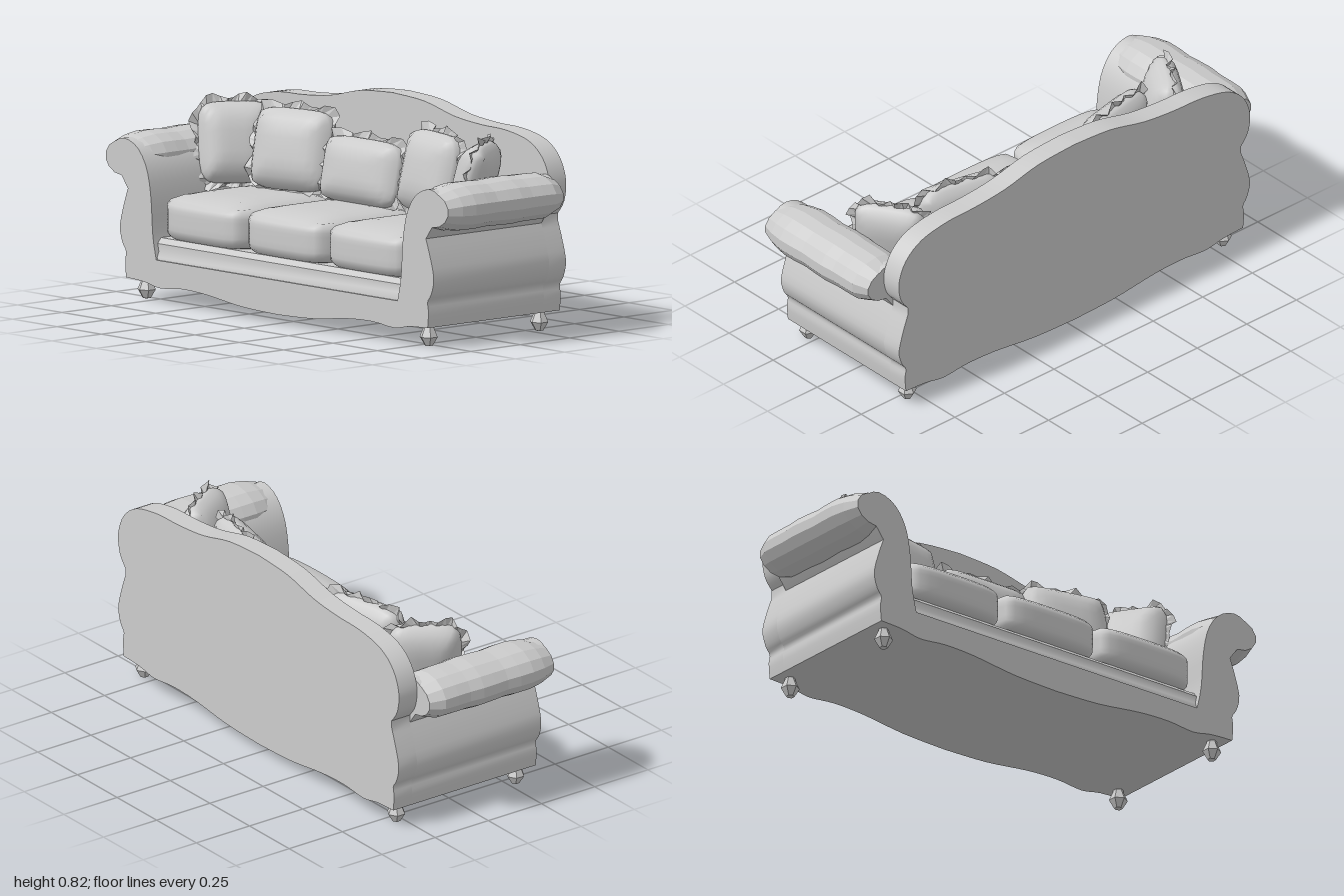
import * as THREE from 'three';
import { mergeVertices, toCreasedNormals } from 'three/addons/utils/BufferGeometryUtils.js';

const smooth = new THREE.MeshStandardMaterial({ color: 0xcccccc });
const faceted = new THREE.MeshStandardMaterial({ color: 0xcccccc, flatShading: true });
const cloth = new THREE.MeshStandardMaterial({ color: 0xcccccc, flatShading: true, side: THREE.DoubleSide });

const spline = (pts, n) => new THREE.SplineCurve(pts.map(p => new THREE.Vector2(...p))).getPoints(n);

// Shape symmetric about x = 0, from its right half listed bottom centre to top centre
function mirroredShape(half) {
  const left = half.filter(p => p.x > 1e-4).reverse().map(p => new THREE.Vector2(-p.x, p.y));
  return new THREE.Shape([...half, ...left]);
}

function add(parent, name, geometry, material) {
  const mesh = new THREE.Mesh(geometry, material);
  mesh.name = name;
  parent.add(mesh);
  return mesh;
}

function slab(shape, z0, z1) {
  const g = new THREE.ExtrudeGeometry(shape, { depth: z1 - z0, bevelEnabled: false });
  return toCreasedNormals(g.translate(0, 0, z0), 0.6);
}

// Box puffed into a cushion: n sets how square it stays, pinch thins the rim
function cushionGeometry(w, h, d, n, pinch, rule) {
  const g = new THREE.BoxGeometry(2, 2, 2, 10, 8, 6);
  const pos = g.attributes.position, v = new THREE.Vector3();
  for (let i = 0; i < pos.count; i++) {
    v.fromBufferAttribute(pos, i);
    const k = (Math.abs(v.x) ** n + Math.abs(v.y) ** n + Math.abs(v.z) ** n) ** (-1 / n);
    v.multiplyScalar(k);
    if (pinch) v.z *= 1 - pinch * Math.max(v.x ** 4, v.y ** 4);
    if (rule) rule(v);
    pos.setXYZ(i, v.x * w / 2, v.y * h / 2, v.z * d / 2);
  }
  g.deleteAttribute('uv');
  g.deleteAttribute('normal');
  const merged = mergeVertices(g, 1e-4);
  merged.computeVertexNormals();
  return merged;
}

// Thin gathered frill around a pillow's rim
function frillGeometry(w, h, phase) {
  const n = 44, pos = [], idx = [];
  for (let i = 0; i < n; i++) {
    const a = i / n * Math.PI * 2, c = Math.cos(a), s = Math.sin(a);
    const k = (Math.abs(c) ** 5 + Math.abs(s) ** 5) ** (-1 / 5);
    const wave = Math.sin(i * 2.1 + phase);
    const out = 0.022 + 0.012 * Math.sin(i * 1.3 + phase);
    pos.push(c * k * w * 0.46, s * k * h * 0.46, 0);
    pos.push(c * k * (w / 2 + out), s * k * (h / 2 + out), 0.016 * wave);
    const p = i * 2, q = ((i + 1) % n) * 2;
    idx.push(p, p + 1, q, p + 1, q + 1, q);
  }
  const g = new THREE.BufferGeometry();
  g.setAttribute('position', new THREE.Float32BufferAttribute(pos, 3));
  g.setIndex(idx);
  g.computeVertexNormals();
  return g;
}

function pillow(parent, name, w, h, d, position, turn, lean, phase) {
  const group = new THREE.Group();
  group.name = name;
  add(group, name + 'Body', cushionGeometry(w, h, d, 5, 0.65), smooth);
  add(group, name + 'Frill', frillGeometry(w, h, phase), cloth);
  group.position.set(...position);
  group.rotation.set(lean, turn, 0, 'YXZ');
  parent.add(group);
}

export function createModel() {
  const sofa = new THREE.Group();
  sofa.name = 'sofa';

  // Scalloped lower edge and serpentine side, shared by the frame and the back
  const apron = spline([[0, 0.035], [0.2, 0.042], [0.4, 0.065], [0.54, 0.07], [0.66, 0.06], [0.75, 0.075], [0.85, 0.08]], 24);
  const side = spline([[0.85, 0.08], [0.855, 0.14], [0.85, 0.18], [0.87, 0.21], [0.885, 0.27], [0.865, 0.35], [0.84, 0.42]], 16);

  // Frame: apron and both arm bodies in one outline
  const armInside = spline([[0.9, 0.5], [0.93, 0.57], [0.87, 0.61], [0.79, 0.585], [0.735, 0.51], [0.71, 0.4], [0.7, 0.26], [0.68, 0.165]], 20);
  const frame = mirroredShape([...apron, ...side.slice(1), ...armInside, new THREE.Vector2(0, 0.165)]);
  add(sofa, 'frame', slab(frame, -0.25, 0.335), smooth);

  // Camelback panel
  const crest = spline([[0.84, 0.45], [0.875, 0.5], [0.885, 0.58], [0.85, 0.665], [0.77, 0.725], [0.64, 0.752],
    [0.5, 0.757], [0.35, 0.772], [0.18, 0.81], [0, 0.822]], 36);
  const back = mirroredShape([...apron, ...side.slice(1), ...crest]);
  add(sofa, 'backPanel', slab(back, -0.335, -0.25), smooth);

  // Rounded seat rail and deck running between the arms
  const railShape = new THREE.Shape([[0.25, 0.15], [-0.328, 0.15], [-0.328, 0.175], [-0.315, 0.195], [-0.315, 0.225],
    [-0.295, 0.245], [0.25, 0.245]].reverse().map(p => new THREE.Vector2(...p)));
  const rail = new THREE.ExtrudeGeometry(railShape, { depth: 1.42, bevelEnabled: false });
  rail.translate(0, 0, -0.71).rotateY(Math.PI / 2);
  add(sofa, 'seatRail', toCreasedNormals(rail, 0.7), smooth);

  // Lumpy rolled arms, tapering at both ends
  for (const s of [-1, 1]) {
    const roll = new THREE.CylinderGeometry(1, 1, 1, 14, 10).rotateX(Math.PI / 2);
    const pos = roll.attributes.position;
    for (let i = 0; i < pos.count; i++) {
      const t = pos.getZ(i) * 2;
      const z = 0.0425 + t * 0.2925;
      const k = (1 - 0.24 * Math.abs(t) ** 7) * (0.98 + 0.025 * Math.cos(z * 32));
      const x = pos.getX(i), y = pos.getY(i);
      pos.setXYZ(i, s * 0.873 + x * 0.127 * k, 0.535 + y * 0.093 * k - (y > 0 ? 0.012 * Math.max(0, Math.abs(t) - 0.7) : 0), z);
    }
    add(sofa, s > 0 ? 'leftArmRoll' : 'rightArmRoll', toCreasedNormals(roll, 0.6), faceted);
  }

  // Seat cushions, crowned on top and bowed at the front
  [-1, 0, 1].forEach((s, i) => {
    const crown = v => {
      if (v.y > 0) v.y *= 1 - 0.3 * Math.max(v.x ** 4, v.z ** 4);
      if (v.z > 0) v.z *= 1 - 0.05 * v.x * v.x;
    };
    const seat = add(sofa, 'seatCushion' + (i + 1), cushionGeometry(0.465, 0.185, 0.53, 7, 0, crown), smooth);
    seat.position.set(s * 0.46, 0.33, 0.06);
  });

  // Frilled back pillows, fanned around the seat
  pillow(sofa, 'centrePillow', 0.42, 0.25, 0.14, [0, 0.535, -0.1], 0, -0.2, 0);
  for (const s of [-1, 1]) {
    const label = s > 0 ? 'left' : 'right';
    pillow(sofa, label + 'BackPillow', 0.35, 0.31, 0.15, [s * 0.39, 0.575, -0.1], -s * 0.22, -0.22, 1 + s);
    pillow(sofa, label + 'CornerPillow', 0.28, 0.31, 0.14, [s * 0.675, 0.575, -0.06], -s, -0.25, 3 + s);
  }

  // Turned bun feet
  const footProfile = [[0, 0], [0.016, 0.003], [0.036, 0.036], [0.02, 0.072], [0.018, 0.095]].map(p => new THREE.Vector2(...p));
  for (const x of [-0.795, 0.795]) for (const z of [-0.28, 0.28]) {
    add(sofa, 'foot', new THREE.LatheGeometry(footProfile, 6), faceted).position.set(x, 0, z);
  }
  return sofa;
}
